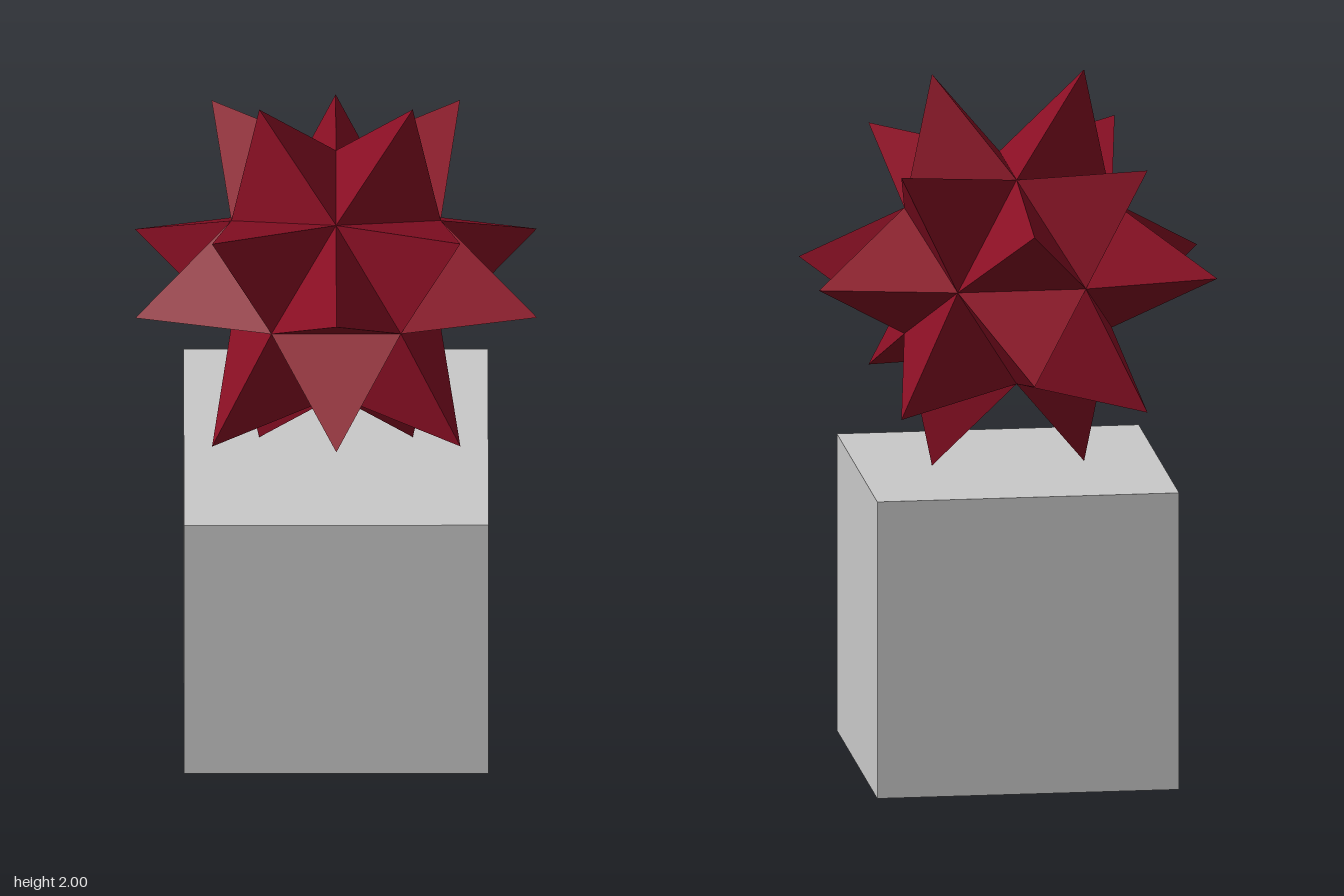
import * as THREE from 'three';

const CUBE = 0.862;        // plinth side
const TIP_RADIUS = 0.609;  // centre to spike tip
const CORE_RADIUS = 0.3485; // centre to the inner corners

// A three-sided spike on every face of an icosahedron
function spikedStar(coreRadius, tipRadius) {
  const core = new THREE.IcosahedronGeometry(coreRadius, 0).rotateY(Math.PI / 2);
  const pos = core.getAttribute('position');
  const points = [];
  for (let i = 0; i < pos.count; i += 3) {
    const [a, b, c] = [0, 1, 2].map(k => new THREE.Vector3().fromBufferAttribute(pos, i + k));
    const tip = a.clone().add(b).add(c).setLength(tipRadius);
    points.push(a, b, tip, b, c, tip, c, a, tip);
  }
  const geometry = new THREE.BufferGeometry().setFromPoints(points);
  geometry.computeVertexNormals();
  return geometry;
}

export function createModel() {
  const grey = new THREE.MeshStandardMaterial({ color: 0xcacaca });
  grey.name = 'light grey';
  const red = new THREE.MeshStandardMaterial({ color: 0x8a0f24 });
  red.name = 'dark red';

  const model = new THREE.Group();
  model.name = 'starOnPlinth';

  // Plain cube
  const plinth = new THREE.Mesh(new THREE.BoxGeometry(CUBE, CUBE, CUBE), grey);
  plinth.name = 'plinth';
  plinth.position.y = CUBE / 2;

  // Twenty-pointed star, standing on its lowest tips
  const star = new THREE.Mesh(spikedStar(CORE_RADIUS, TIP_RADIUS), red);
  star.name = 'star';
  star.position.y = (CUBE + 2) / 2;

  model.add(plinth, star);
  return model;
}
